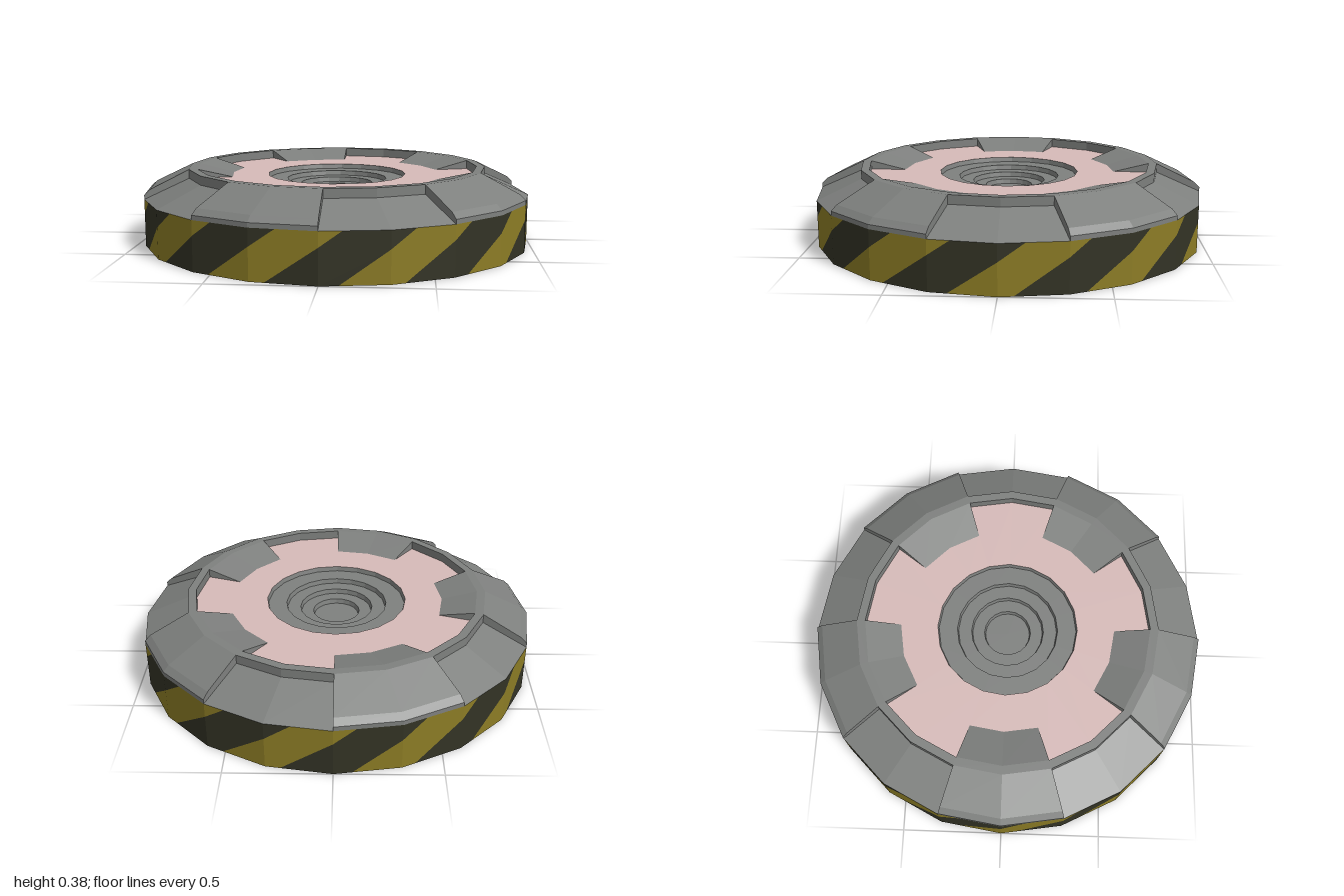
import * as THREE from 'three';

const flat = (name, color) => new THREE.MeshStandardMaterial({ name, color, flatShading: true, side: THREE.DoubleSide });
const RAD = Math.PI / 180, STEP = 18; // twenty-sided disc
const at = (deg, r, y) => [r * Math.sin(deg * RAD), y, r * Math.cos(deg * RAD)];

// Fan of triangles over a convex polygon
function fan(out, pts) {
  for (let i = 1; i < pts.length - 1; i++) out.push(...pts[0], ...pts[i], ...pts[i + 1]);
}

// Sweep a [radius, height] profile over straight 18 degree facets
function sweep(out, profile, start, end) {
  for (let a = start; a < end; a += STEP) {
    for (let i = 0; i < profile.length - 1; i++) {
      const [p, q] = [profile[i], profile[i + 1]];
      const b = a + STEP;
      fan(out, [at(a, ...p), at(b, ...p), at(b, ...q), at(a, ...q)]);
    }
  }
}

// Flat radial end caps on both sides of a sector
function endCaps(out, outline, start, end) {
  fan(out, outline.map((p) => at(start, ...p)));
  fan(out, outline.map((p) => at(end, ...p)).reverse());
}

// Keep the part of an [angle, height] polygon on one side of an angle
function clip(poly, limit, sign) {
  const res = [];
  poly.forEach((p, i) => {
    const q = poly[(i + 1) % poly.length];
    const dp = sign * (p[0] - limit), dq = sign * (q[0] - limit);
    if (dp >= 0) res.push(p);
    if (dp * dq < 0) {
      const t = dp / (dp - dq);
      res.push([limit, p[1] + (q[1] - p[1]) * t]);
    }
  });
  return res;
}

// Slanted band laid on the flat wall facets
function band(out, from, to, lean, height) {
  const poly = [[from, 0], [to, 0], [to + lean, height], [from + lean, height]];
  for (let a = Math.floor(from / STEP) * STEP; a < to + lean; a += STEP) {
    const piece = clip(clip(poly, a, 1), a + STEP, -1);
    if (piece.length < 3) continue;
    const A = at(a, 1, 0), B = at(a + STEP, 1, 0);
    fan(out, piece.map(([deg, y]) => {
      const t = (deg - a) / STEP;
      return [A[0] + (B[0] - A[0]) * t, y, A[2] + (B[2] - A[2]) * t];
    }));
  }
}

export function createModel() {
  const group = new THREE.Group();
  group.name = 'floorPad';
  const grey = flat('metal grey', 0x7e807e);
  const pink = flat('pale pink', 0xd6bab8);
  const yellow = flat('hazard yellow', 0x8c7c25);
  const dark = flat('hazard dark', 0x333325);

  const add = (name, material, build) => {
    const out = [];
    build(out);
    const geo = new THREE.BufferGeometry();
    geo.setAttribute('position', new THREE.Float32BufferAttribute(out, 3));
    geo.computeVertexNormals();
    const mesh = new THREE.Mesh(geo, material);
    mesh.name = name;
    group.add(mesh);
  };

  const wallTop = 0.24, deck = 0.34, top = 0.385;
  const crest = 0.773, inner = 0.73, tabEnd = 0.55, dish = 0.36;

  // Striped outer wall, ten slanted bands of each colour
  const stripes = (from, to) => (out) => {
    for (let k = 0; k < 10; k++) band(out, from + 36 * k, to + 36 * k, 20, wallTop);
  };
  add('darkWallStripes', dark, stripes(-14, 5));
  add('yellowWallStripes', yellow, stripes(5, 22));

  // Five low and five raised rim sections, alternating
  for (let k = 0; k < 5; k++) {
    const low = 72 * k, mid = low + 36, end = low + 72;
    add('lowRimSection', grey, (out) =>
      sweep(out, [[1, wallTop], [crest, deck], [crest, top], [inner, top], [inner, deck]], low, mid));

    add('raisedRimSection', grey, (out) => {
      const slope = [[1, wallTop], [1, 0.262], [0.97, 0.29], [crest, top]];
      sweep(out, [...slope, [inner, top], [tabEnd, deck]], mid, end);
      endCaps(out, [...slope, [crest, deck]], mid, end);
      endCaps(out, [[inner, top], [tabEnd, deck], [inner, deck]], mid, end);
    });

    // Pink deck, cut back around each tab
    add('deckPanel', pink, (out) => {
      sweep(out, [[inner, deck], [dish, deck]], low, mid);
      sweep(out, [[tabEnd, deck], [dish, deck]], mid, end);
    });
  }

  // Stepped dish in the centre
  add('centreDish', grey, (out) => {
    const profile = [];
    [dish, 0.26, 0.187, 0.12].forEach((r, i) => {
      profile.push([r, deck - i * 0.024], [r - 0.005, deck - (i + 1) * 0.024]);
    });
    profile.push([0, deck - 4 * 0.024]);
    sweep(out, profile, 0, 360);
  });

  return group;
}
